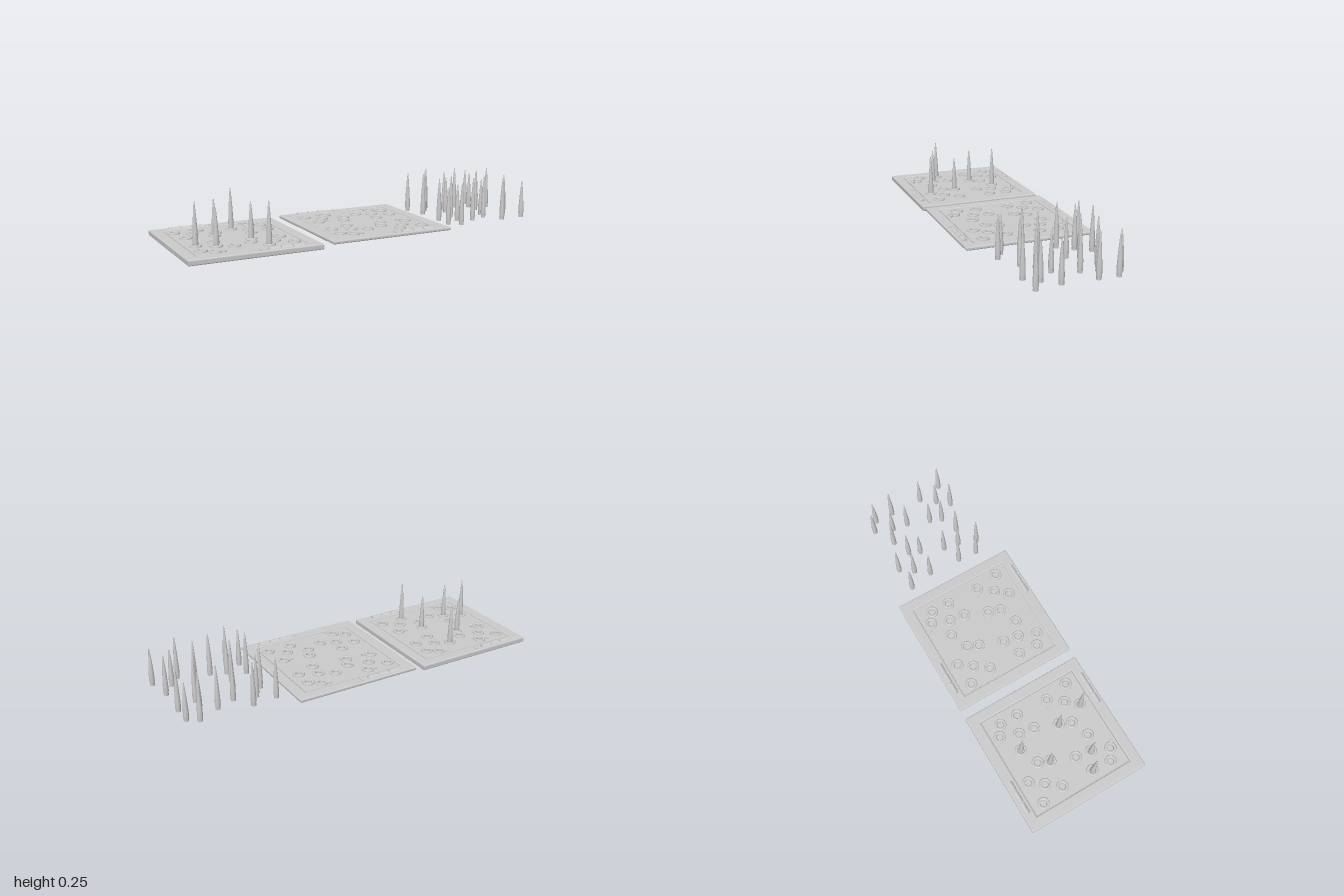
import * as THREE from 'three';

const mat = new THREE.MeshStandardMaterial({ color: 0xcccccc });
const flat = new THREE.MeshStandardMaterial({ color: 0xcccccc, flatShading: true });

// Socket layout relative to a tile centre: x, z, height of the matching spike tip
const sockets = [
  [-0.245, -0.22, 0.237], [-0.115, -0.232, 0.25], [-0.165, -0.162, 0.25], [-0.22, -0.09, 0.25],
  [-0.076, -0.075, 0.22], [-0.05, -0.135, 0.24], [0.05, -0.177, 0.25], [0.13, -0.14, 0.22],
  [0.167, -0.237, 0.22], [0.223, -0.2, 0.22], [0.223, -0.097, 0.25], [0.117, -0.055, 0.24],
  [-0.125, 0.052, 0.25], [-0.228, 0.09, 0.25], [-0.235, 0.197, 0.22], [-0.175, 0.234, 0.24],
  [-0.138, 0.137, 0.22], [-0.057, 0.17, 0.25], [0.042, 0.132, 0.25], [0.069, 0.068, 0.22],
  [0.216, 0.084, 0.235], [0.157, 0.159, 0.22], [0.104, 0.223, 0.25], [0.24, 0.218, 0.22],
];
const mounted = [4, 6, 13, 16, 19, 22];
// Sockets with a small lever, and the direction it points in
const levers = [[1, -0.1, -0.035], [3, 0.042, 0.008], [8, -0.03, -0.022], [15, 0.026, 0.022], [20, -0.042, -0.016]];

function add(parent, name, geometry, x = 0, y = 0, z = 0, material = mat) {
  const mesh = new THREE.Mesh(geometry, material);
  mesh.name = name;
  mesh.position.set(x, y, z);
  parent.add(mesh);
  return mesh;
}

function square(Type, h) {
  return new Type([[-h, -h], [h, -h], [h, h], [-h, h]].map(([x, y]) => new THREE.Vector2(x, y)));
}

const lathe = (points, sides) =>
  new THREE.LatheGeometry(points.map(([r, y]) => new THREE.Vector2(r, y)), sides);

// Slightly swollen spike standing on a short peg
function spike(parent, x, z, tip) {
  const base = 0.012, h = tip - base;
  const profile = [[0, 0], [0.0125, 0], [0.0125, 0], [0.0125, 0.018], [0.0142, 0.022], [0.0135, 0.06],
    [0.0105, h * 0.52], [0.006, h * 0.8], [0.0025, h * 0.98], [0, h]];
  add(parent, 'spike', lathe(profile, 16), x, base, z);
}

// Hinge lying on the frame, with a small catch beside it
function hinge(parent, top, turn) {
  const g = new THREE.Group();
  g.name = 'hinge';
  g.rotation.y = turn;
  for (const x of [-0.218, -0.155, -0.092]) {
    const k = add(g, 'hingeKnuckle', new THREE.CylinderGeometry(0.016, 0.016, 0.056, 16), x, top - 0.007, -0.315);
    k.rotation.z = Math.PI / 2;
  }
  const pin = add(g, 'hingePin', new THREE.CylinderGeometry(0.011, 0.011, 0.19, 12), -0.155, top - 0.006, -0.315);
  pin.rotation.z = Math.PI / 2;
  add(g, 'hingeCatch', new THREE.BoxGeometry(0.007, 0.006, 0.03), -0.022, top, -0.315);
  parent.add(g);
}

function tile(name, x, bottom, height, withSpikes) {
  const g = new THREE.Group();
  g.name = name;
  g.position.x = x;
  const top = bottom + height, panelTop = top - 0.004;

  // Bevelled square frame around the panel
  const bevel = 0.006;
  const outline = square(THREE.Shape, 0.344 - bevel);
  outline.holes.push(square(THREE.Path, 0.285 + bevel));
  const frame = new THREE.ExtrudeGeometry(outline, {
    depth: height - 2 * bevel, bevelThickness: bevel, bevelSize: bevel, bevelSegments: 3,
  });
  frame.rotateX(-Math.PI / 2);
  add(g, 'frame', frame, 0, bottom + bevel, 0, flat);

  // Floor and pierced panel
  add(g, 'floor', new THREE.BoxGeometry(0.578, 0.008, 0.578), 0, bottom + 0.006, 0);
  const sheet = square(THREE.Shape, 0.281);
  for (const [sx, sz] of sockets) {
    const hole = new THREE.Path();
    hole.absarc(sx, -sz, 0.0175, 0, Math.PI * 2, true);
    sheet.holes.push(hole);
  }
  const panelBase = bottom + 0.01;
  const panel = new THREE.ExtrudeGeometry(sheet, { depth: panelTop - panelBase, bevelEnabled: false, curveSegments: 10 });
  panel.rotateX(-Math.PI / 2);
  add(g, 'panel', panel, 0, panelBase, 0);

  // Raised collar around every socket
  const collar = lathe([[0.032, -0.002], [0.032, 0.006], [0.029, 0.009], [0.021, 0.009], [0.0175, 0.006], [0.0175, -0.002]], 20);
  sockets.forEach(([sx, sz, tip], i) => {
    add(g, 'collar', collar, sx, panelTop, sz);
    if (withSpikes && mounted.includes(i)) spike(g, sx, sz, tip);
  });

  for (const [i, dx, dz] of levers) {
    const d = new THREE.Vector2(dx, dz).setLength(0.036);
    const lever = add(g, 'lever', new THREE.BoxGeometry(0.032, 0.007, 0.012),
      sockets[i][0] + d.x, panelTop + 0.006, sockets[i][1] + d.y);
    lever.rotation.y = -Math.atan2(d.y, d.x);
  }

  hinge(g, top, 0);
  hinge(g, top, Math.PI);
  return g;
}

export function createModel() {
  const model = new THREE.Group();
  model.name = 'spikeTrapSet';
  model.add(tile('armedTile', -0.656, 0, 0.029, true));
  model.add(tile('emptyTile', 0.083, 0.018, 0.018, false));

  // Loose spikes in the same layout beside the tiles
  const loose = new THREE.Group();
  loose.name = 'looseSpikes';
  for (const [x, z, tip] of sockets) spike(loose, x + 0.744, z, tip);
  model.add(loose);
  return model;
}
